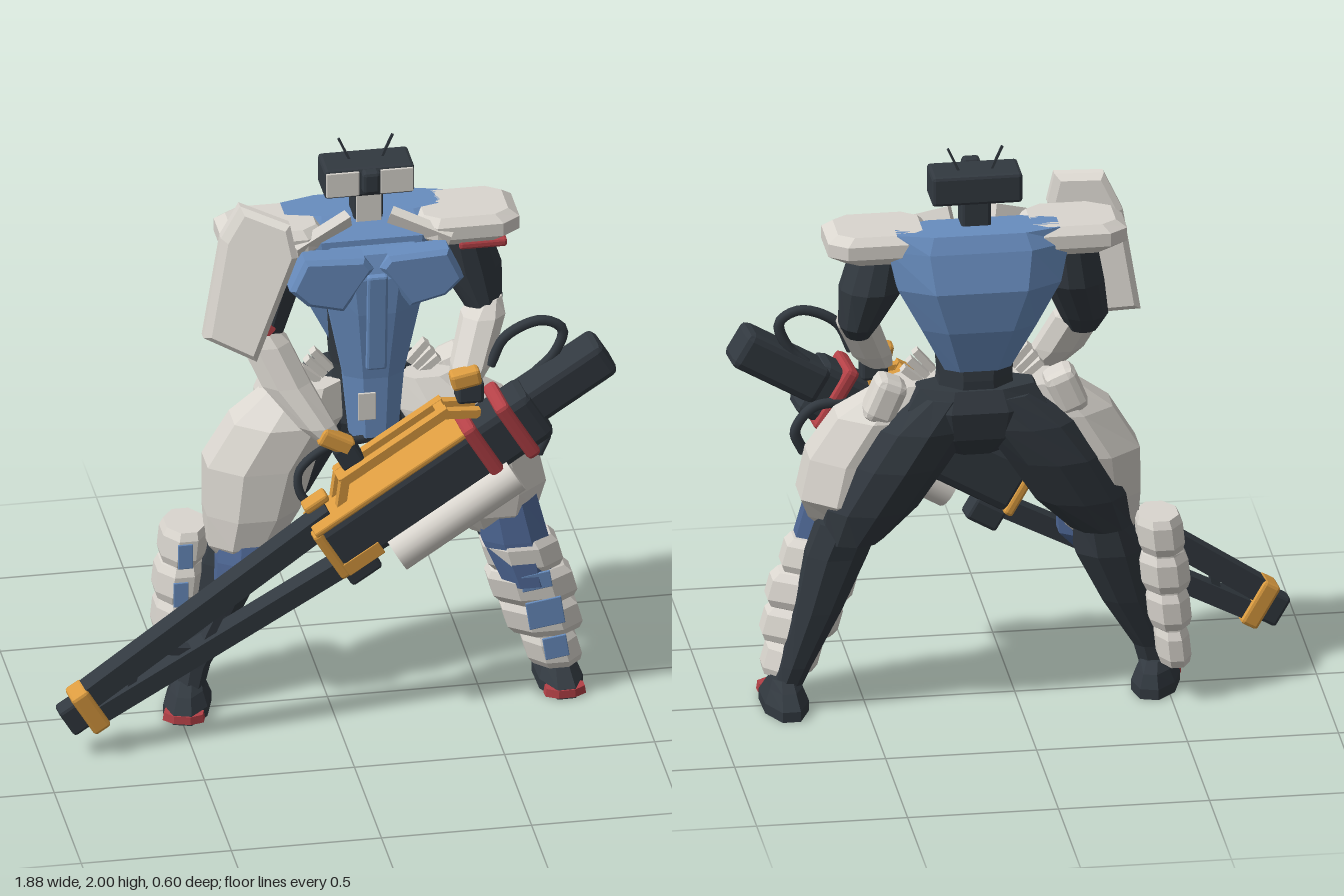
import * as THREE from 'three';
import { RoundedBoxGeometry } from 'three/addons/geometries/RoundedBoxGeometry.js';

const paint = (name, color) => Object.assign(new THREE.MeshStandardMaterial({ color }), { name });
const light = paint('light grey', 0xdad6cf), blue = paint('blue', 0x688dbf), navy = paint('navy', 0x4e6795);
const dark = paint('charcoal', 0x323940), orange = paint('orange', 0xdc9c40), red = paint('red', 0xb44147);
const MID = 0.15; // the upper body is mirrored about this x

export function createModel() {
  const model = new THREE.Group();
  const put = (name, geo, mat, parent = model) => {
    const m = new THREE.Mesh(geo, mat);
    m.name = name;
    parent.add(m);
    return m;
  };
  const facet = (g) => {
    const f = g.index ? g.toNonIndexed() : g;
    f.computeVertexNormals();
    return f;
  };

  // faceted body through horizontal rings [x, y, z, radius x, radius z], listed top to bottom;
  // an exponent e below 1 makes the rings boxier
  function loft(name, rows, mat, n = 8, e = 1) {
    const pos = [], idx = [], k = 1 / Math.cos(Math.PI / n);
    const boxy = (v) => Math.sign(v) * Math.abs(v * k) ** e;
    for (const [x, y, z, rx, rz] of rows)
      for (let i = 0; i < n; i++) {
        const a = ((i + 0.5) / n) * Math.PI * 2;
        pos.push(x + boxy(Math.cos(a)) * rx, y, z + boxy(Math.sin(a)) * rz);
      }
    const top = rows.length * n, last = (rows.length - 1) * n;
    for (const r of [rows[0], rows[rows.length - 1]]) pos.push(r[0], r[1], r[2]);
    for (let i = 0; i < n; i++) {
      const j = (i + 1) % n;
      for (let r = 0; r < last; r += n) idx.push(r + i, r + j, r + n + i, r + j, r + n + j, r + n + i);
      idx.push(top, j, i, top + 1, last + i, last + j);
    }
    const g = new THREE.BufferGeometry();
    g.setAttribute('position', new THREE.Float32BufferAttribute(pos, 3));
    g.setIndex(idx);
    return put(name, facet(g), mat);
  }
  function block(name, [x, y, z], [w, h, d], mat, parent, bevel = 0.012) {
    const b = Math.min(bevel, Math.min(w, h, d) * 0.3);
    const m = put(name, facet(new RoundedBoxGeometry(w, h, d, 1, b)), mat, parent);
    m.position.set(x, y, z);
    return m;
  }
  function bar(name, p, q, w, d, mat, parent) {
    const a = new THREE.Vector3(...p), b = new THREE.Vector3(...q), v = b.clone().sub(a);
    const m = put(name, new THREE.BoxGeometry(w, v.length(), d), mat, parent);
    m.position.copy(a).add(b).multiplyScalar(0.5);
    m.quaternion.setFromUnitVectors(new THREE.Vector3(0, 1, 0), v.normalize());
    return m;
  }
  const hose = (name, pts, r) => put(name, new THREE.TubeGeometry(
    new THREE.CatmullRomCurve3(pts.map((p) => new THREE.Vector3(...p))), 24, r, 8), dark);
  function plate(name, pts, z, depth, mat, bevel = 0.015) {
    const g = new THREE.ExtrudeGeometry(new THREE.Shape(pts.map((p) => new THREE.Vector2(...p))),
      { depth, bevelThickness: bevel, bevelSize: bevel, bevelOffset: -bevel, bevelSegments: 1 });
    return put(name, facet(g.translate(0, 0, z)), mat);
  }

  // head, neck and antennae
  block('head', [MID, 1.87, -0.12], [0.3, 0.105, 0.14], dark);
  block('neck', [MID, 1.76, -0.12], [0.1, 0.18, 0.09], dark);
  block('neckFront', [MID, 1.76, -0.072], [0.085, 0.12, 0.008], light);
  block('camera', [MID, 1.885, -0.03], [0.06, 0.08, 0.045], dark);
  for (const s of [-1, 1]) {
    block('facePlate', [MID + s * 0.09, 1.87, -0.05], [0.11, 0.088, 0.009], light);
    bar('antenna', [MID + s * 0.05, 1.91, -0.13], [MID + s * 0.09, 2, -0.13], 0.008, 0.008, dark);
  }

  // torso: back shell, keel and waist
  loft('backShell', [[MID, 1.735, -0.17, 0.27, 0.075], [MID, 1.68, -0.14, 0.3, 0.13], [MID, 1.55, -0.15, 0.27, 0.15],
    [MID, 1.4, -0.165, 0.19, 0.11], [MID, 1.24, -0.15, 0.11, 0.07]], blue, 8, 0.65);
  loft('keel', [[MID, 1.66, 0, 0.14, 0.06], [MID, 1.58, 0.01, 0.18, 0.08], [MID, 1.45, 0.01, 0.15, 0.075],
    [MID, 1.2, 0, 0.1, 0.06], [MID, 0.98, 0.01, 0.08, 0.05]], blue);
  loft('waist', [[MID, 1.42, -0.1, 0.14, 0.09], [MID, 1.2, -0.11, 0.12, 0.1], [MID, 1, -0.1, 0.14, 0.1]], dark);
  block('keelRidge', [MID, 1.42, 0.078], [0.07, 0.36, 0.03], blue).rotation.x = 0.07;
  block('keelPatch', [MID - 0.03, 1.1, 0.062], [0.06, 0.1, 0.008], light);
  loft('pelvis', [[MID, 1.17, -0.14, 0.19, 0.08], [MID, 1.1, -0.14, 0.23, 0.11], [MID, 1, -0.12, 0.2, 0.11],
    [MID, 0.92, -0.09, 0.1, 0.07]], dark);

  for (const s of [-1, 1]) {
    const X = (d) => MID + s * d;
    // chest plates and collar strips
    plate('chestPlate', [[X(0.01), 1.62], [X(0.04), 1.66], [X(0.24), 1.67], [X(0.29), 1.56], [X(0.23), 1.5], [X(0.11), 1.47]],
      0.01, 0.07, blue);
    bar('collarStrip', [X(0.07), 1.74, -0.06], [X(0.26), 1.67, 0.01], 0.05, 0.035, light);
    // shoulder pads
    loft('shoulderPad', [[X(0.32), 1.735, -0.11, 0.14, 0.1], [X(0.325), 1.71, -0.11, 0.17, 0.125],
      [X(0.325), 1.665, -0.11, 0.17, 0.125], [X(0.31), 1.635, -0.11, 0.13, 0.1]], light, 8, 0.5);
    block('shoulderTrim', [X(0.37), 1.63, -0.05], [0.16, 0.03, 0.1], red);
    // hip guards and waist fins
    block('hipGuard', [X(0.3), 1.12, -0.12], [0.11, 0.16, 0.12], light, model, 0.03).rotation.z = s * 0.4;
    for (let i = 0; i < 3; i++)
      bar('waistFin', [X(0.13 + i * 0.02), 1.19 - i * 0.02, -0.06], [X(0.19 + i * 0.02), 1.26 - i * 0.03, -0.06], 0.024, 0.035, light);
  }

  // left arm
  loft('leftUpperArm', [[0.46, 1.66, -0.1, 0.09, 0.09], [0.49, 1.52, -0.11, 0.105, 0.1], [0.53, 1.38, -0.09, 0.065, 0.08],
    [0.53, 1.33, -0.07, 0.04, 0.05]], dark, 12);
  loft('leftForearm', [[0.55, 1.41, -0.07, 0.04, 0.05], [0.525, 1.36, -0.04, 0.07, 0.065], [0.47, 1.22, 0.04, 0.065, 0.06],
    [0.44, 1.16, 0.08, 0.045, 0.045]], light);
  block('leftHandGuard', [0.44, 1.2, 0.105], [0.1, 0.06, 0.06], orange).rotation.z = 0.2;
  block('leftHand', [0.455, 1.15, 0.09], [0.09, 0.08, 0.08], dark);

  // right arm
  loft('rightUpperArm', [[-0.16, 1.66, -0.1, 0.09, 0.09], [-0.18, 1.5, -0.09, 0.1, 0.1], [-0.22, 1.36, -0.05, 0.08, 0.08],
    [-0.22, 1.3, -0.03, 0.05, 0.06]], dark, 12);
  loft('rightForearm', [[-0.23, 1.4, -0.03, 0.04, 0.05], [-0.21, 1.34, -0.01, 0.08, 0.07], [-0.15, 1.21, 0.04, 0.08, 0.07],
    [-0.06, 1.08, 0.11, 0.06, 0.055], [-0.01, 1.02, 0.13, 0.04, 0.04]], light);
  block('rightHandGuard', [0, 1.03, 0.15], [0.12, 0.06, 0.06], orange).rotation.z = -0.5;
  block('rightHand', [0.04, 0.98, 0.14], [0.08, 0.09, 0.08], dark).rotation.z = 0.5;

  // shield, turned outward by shearing depth along its width
  const shield = plate('shield', [[-0.29, 1.845], [-0.14, 1.81], [-0.12, 1.7], [-0.25, 1.31], [-0.41, 1.36], [-0.35, 1.72]],
    0, 0.03, light, 0.02);
  const sp = shield.geometry.attributes.position;
  for (let i = 0; i < sp.count; i++) {
    const centre = -0.22 - (1.84 - sp.getY(i)) * 0.2;
    sp.setZ(i, sp.getZ(i) + 0.005 + (sp.getX(i) - centre) * 0.6);
  }
  shield.geometry.computeVertexNormals();
  bar('shieldMount', [-0.24, 1.42, 0], [-0.195, 1.38, 0], 0.05, 0.07, red);

  // legs: dark core with light armour over the front and outer side of the thigh
  loft('leftThigh', [[0.24, 1.14, -0.14, 0.1, 0.09], [0.32, 1.03, -0.13, 0.16, 0.12], [0.4, 0.9, -0.12, 0.16, 0.13],
    [0.49, 0.74, -0.1, 0.15, 0.12], [0.55, 0.62, -0.08, 0.1, 0.1]], dark, 10);
  loft('leftThighArmour', [[0.33, 1.16, -0.06, 0.1, 0.07], [0.42, 1.05, -0.05, 0.18, 0.13], [0.51, 0.9, -0.02, 0.18, 0.155],
    [0.54, 0.76, -0.02, 0.18, 0.155], [0.545, 0.68, 0.01, 0.145, 0.115], [0.54, 0.6, 0.02, 0.07, 0.06]], light);
  loft('leftShin', [[0.56, 0.68, -0.07, 0.1, 0.1], [0.6, 0.56, -0.06, 0.1, 0.085], [0.66, 0.36, -0.06, 0.075, 0.06],
    [0.73, 0.16, -0.04, 0.05, 0.05], [0.76, 0.07, -0.02, 0.045, 0.05]], dark);
  loft('leftKnee', [[0.58, 0.74, 0.04, 0.1, 0.07], [0.61, 0.58, 0.06, 0.11, 0.075], [0.65, 0.42, 0.09, 0.08, 0.06]], navy);
  loft('rightThigh', [[0.06, 1.14, -0.14, 0.1, 0.09], [-0.02, 1.03, -0.13, 0.16, 0.12], [-0.11, 0.9, -0.12, 0.16, 0.13],
    [-0.2, 0.74, -0.1, 0.15, 0.12], [-0.27, 0.62, -0.08, 0.1, 0.1]], dark, 10);
  loft('rightThighArmour', [[-0.06, 1.15, -0.07, 0.11, 0.08], [-0.13, 1.04, -0.05, 0.18, 0.13], [-0.22, 0.89, -0.05, 0.18, 0.14],
    [-0.25, 0.72, -0.03, 0.155, 0.125], [-0.28, 0.61, -0.02, 0.12, 0.1], [-0.29, 0.54, -0.02, 0.06, 0.06]], light);
  loft('rightShin', [[-0.27, 0.66, -0.06, 0.09, 0.09], [-0.3, 0.52, -0.06, 0.11, 0.09], [-0.36, 0.34, -0.05, 0.08, 0.065],
    [-0.44, 0.16, -0.02, 0.05, 0.05], [-0.46, 0.07, -0.01, 0.045, 0.05]], dark);
  loft('rightKnee', [[-0.25, 0.66, 0, 0.11, 0.07], [-0.26, 0.56, 0.02, 0.115, 0.08], [-0.3, 0.48, 0.03, 0.08, 0.06]], navy);

  // segmented calf armour: each segment bulges between two pinched rings
  function calf(name, top, bottom, widths, depth) {
    const rows = [], n = widths.length;
    widths.forEach((w, i) => [[0, 0.87], [0.2, 1], [0.75, 1], [0.96, 0.87]].forEach(([f, k]) => {
      const t = (i + f) / n, at = (j) => top[j] + (bottom[j] - top[j]) * t;
      rows.push([at(0), at(1), at(2), w * k, depth * k]);
    }));
    loft(name, rows, light);
  }
  calf('leftCalf', [0.62, 0.58, 0.05], [0.75, 0.1, 0.05], [0.125, 0.14, 0.125, 0.09], 0.092);
  calf('rightCalf', [-0.46, 0.65, -0.09], [-0.515, 0.12, -0.09], [0.075, 0.08, 0.07, 0.055], 0.1);
  for (const [x, y, w, h] of [[0.67, 0.44, 0.1, 0.06], [0.7, 0.32, 0.12, 0.1], [0.735, 0.19, 0.08, 0.08]])
    block('leftCalfPanel', [x, y, 0.142], [w, h, 0.009], blue).rotation.z = 0.15;
  for (const [x, y] of [[-0.475, 0.57], [-0.49, 0.43], [-0.505, 0.3]])
    block('rightCalfPanel', [x, y, 0.01], [0.05, 0.09, 0.009], blue);

  // feet
  for (const [name, x, z, yaw, len] of [['leftFoot', 0.765, 0, 0.03, 0.155], ['rightFoot', -0.465, -0.01, -0.3, 0.13]]) {
    const foot = loft(name, [[0, 0.11, -0.02, 0.045, 0.05], [0, 0.08, -0.01, 0.055, 0.1], [0, 0.035, 0, 0.073, len],
      [0, 0, 0, 0.073, len]], dark);
    foot.position.set(x, 0, z);
    foot.rotation.y = yaw;
    foot.add(loft('toeStrip', [[0, 0.034, len - 0.035, 0.064, 0.04], [0, 0.006, len - 0.035, 0.068, 0.04]], red));
  }

  // long gun, modelled along its own x axis from the muzzle
  const gun = new THREE.Group();
  gun.name = 'gun';
  gun.position.set(-0.88, 0.175, 0.247);
  gun.rotation.set(0, 0.083, 0.54, 'YZX');
  model.add(gun);
  block('muzzleTip', [-0.025, -0.02, 0], [0.07, 0.11, 0.07], dark, gun);
  block('muzzleBand', [0.03, -0.025, 0], [0.065, 0.165, 0.1], orange, gun);
  bar('upperRail', [0.04, 0.015, 0], [1.05, 0.075, 0.01], 0.078, 0.075, dark, gun);
  bar('lowerRail', [0.04, -0.06, 0], [1.05, -0.11, 0.01], 0.065, 0.07, dark, gun);
  for (const [a, b] of [[0.17, 0.25], [0.42, 0.3], [0.47, 0.62]])
    bar('railStrut', [a, -0.065, 0], [b, 0.035, 0], 0.028, 0.04, dark, gun);
  block('receiver', [1.39, -0.015, 0.015], [0.84, 0.2, 0.15], dark, gun, 0.03);
  block('stock', [1.93, 0.005, 0], [0.33, 0.135, 0.14], dark, gun, 0.025);
  block('underGrip', [1.03, -0.15, 0], [0.12, 0.08, 0.08], dark, gun);
  block('frontTrim', [0.975, -0.015, 0.015], [0.035, 0.2, 0.158], orange, gun);
  block('sideTrim', [1.055, -0.09, 0.088], [0.14, 0.05, 0.009], orange, gun);
  block('topPlate', [1.28, 0.089, 0.02], [0.62, 0.022, 0.16], orange, gun);
  for (const z of [-0.045, 0.025]) {
    bar('handleRail', [1.14, 0.165, z], [1.56, 0.165, z], 0.032, 0.032, orange, gun);
    bar('handleFront', [1.09, 0.09, z], [1.15, 0.165, z], 0.03, 0.03, orange, gun);
    bar('handleRear', [1.64, 0.09, z], [1.54, 0.165, z], 0.03, 0.03, orange, gun);
  }
  for (const u of [1.15, 1.54]) bar('handleCross', [u, 0.165, -0.055], [u, 0.165, 0.035], 0.032, 0.03, orange, gun);
  block('gripTab', [1.03, 0.15, 0.01], [0.09, 0.03, 0.06], orange, gun);
  for (const u of [1.58, 1.71]) block('redBand', [u, -0.01, 0.015], [0.05, 0.235, 0.185], red, gun, 0.03);
  const tank = put('tank', new THREE.CylinderGeometry(0.065, 0.065, 0.47, 20), light, gun);
  tank.position.set(1.385, -0.15, 0.075);
  tank.rotation.z = Math.PI / 2;

  // hoses
  hose('stockHose', [[0.53, 1.22, 0.07], [0.58, 1.32, 0.07], [0.7, 1.37, 0.07], [0.77, 1.33, 0.07], [0.74, 1.24, 0.07], [0.68, 1.18, 0.07]], 0.018);
  hose('lowerHose', [[0.55, 1.04, 0.06], [0.66, 1.03, 0.05], [0.72, 0.95, 0.05], [0.69, 0.87, 0.06]], 0.018);
  hose('frontHose', [[0.1, 1, 0.1], [-0.02, 1, 0.13], [-0.12, 0.92, 0.14], [-0.11, 0.83, 0.15], [-0.02, 0.77, 0.16]], 0.015);
  return model;
}
